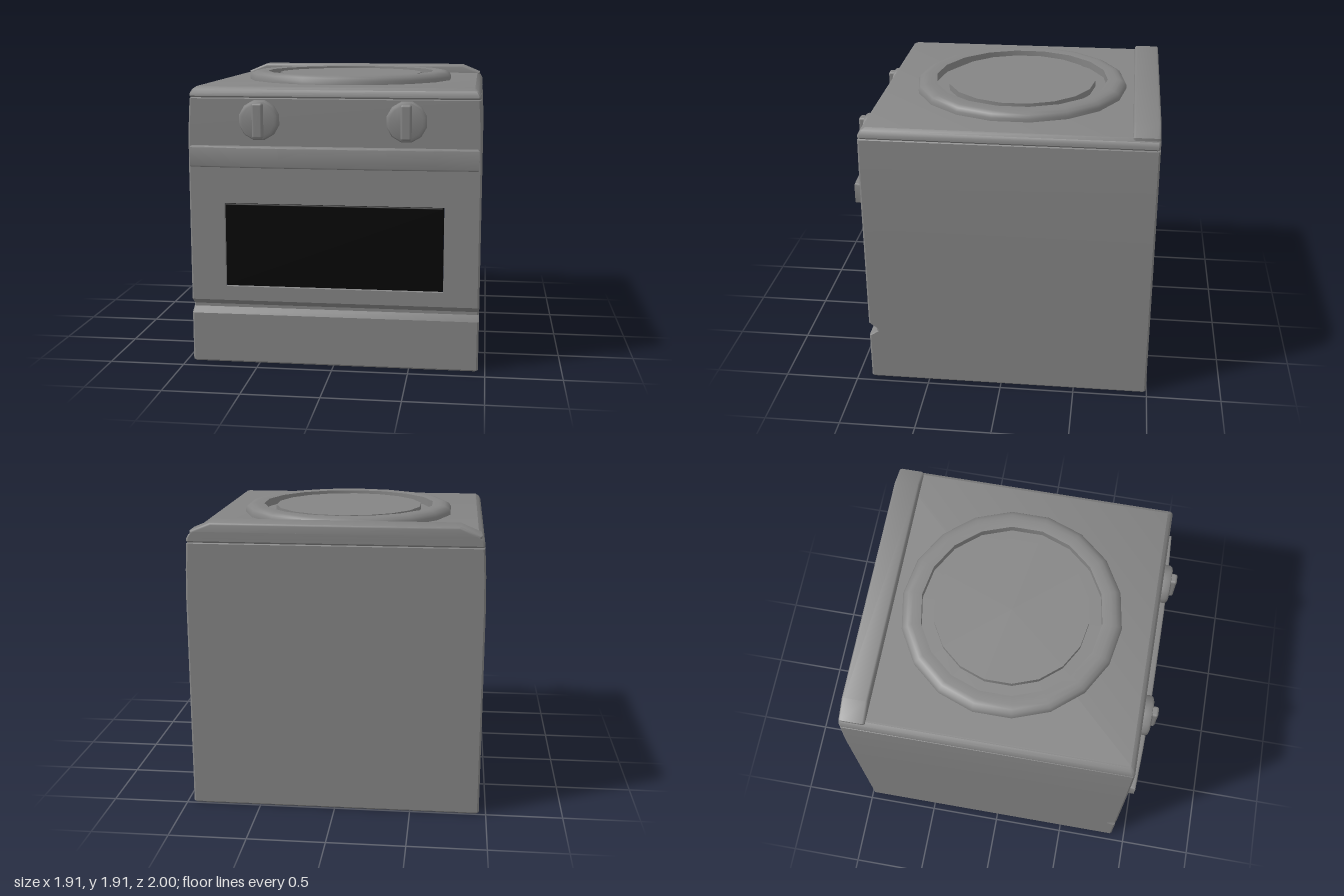
import * as THREE from 'three';
import { toCreasedNormals } from 'three/addons/utils/BufferGeometryUtils.js';
import { RoundedBoxGeometry } from 'three/addons/geometries/RoundedBoxGeometry.js';

const steel = new THREE.MeshStandardMaterial({ color: 0x848484 });
const black = new THREE.MeshStandardMaterial({ color: 0x050505 });

function part(name, geometry, material = steel) {
  const mesh = new THREE.Mesh(geometry, material);
  mesh.name = name;
  return mesh;
}

// Stacks chamfered rectangles [y, halfWidth, zFront, zBack]; openRow leaves a gap in the front wall
function loft(rows, chamfer, openRow = -1) {
  const positions = [], index = [];
  for (const [y, w, f, b] of rows) {
    const c = chamfer;
    const ring = [[c - w, f], [w - c, f], [w, f - c], [w, b + c],
      [w - c, b], [c - w, b], [-w, b + c], [-w, f - c]];
    for (const [x, z] of ring) positions.push(x, y, z);
  }
  const top = (rows.length - 1) * 8;
  for (let r = 0; r < rows.length - 1; r++) {
    for (let j = 0; j < 8; j++) {
      if (r === openRow && j === 0) continue;
      const a = r * 8 + j, b = r * 8 + (j + 1) % 8;
      index.push(a, b, b + 8, a, b + 8, a + 8);
    }
  }
  for (let j = 1; j < 7; j++) index.push(0, j + 1, j, top, top + j, top + j + 1);
  const geometry = new THREE.BufferGeometry();
  geometry.setAttribute('position', new THREE.Float32BufferAttribute(positions, 3));
  geometry.setIndex(index);
  return toCreasedNormals(geometry, 0.6);
}

function lathe(points, sides) {
  const profile = points.map(([r, y]) => new THREE.Vector2(r, y));
  return toCreasedNormals(new THREE.LatheGeometry(profile, sides), 0.7);
}

function polygon(points) {
  return new THREE.Shape(points.map(([x, y]) => new THREE.Vector2(x, y)));
}

function rectangle(w, y0, y1) {
  return [[-w, y0], [w, y0], [w, y1], [-w, y1]];
}

// Knob facing +z with its grip bar
function createKnob(name, x) {
  const knob = new THREE.Group();
  knob.name = name;
  const dialGeometry = lathe([[0.132, 0], [0.132, 0.04], [0.124, 0.055], [0.105, 0.062], [0, 0.062]], 12);
  dialGeometry.rotateY(Math.PI / 12);
  const dial = part('knobDial', dialGeometry);
  dial.rotation.x = Math.PI / 2;
  const grip = part('knobGrip', new RoundedBoxGeometry(0.07, 0.226, 0.06, 2, 0.015));
  grip.position.z = 0.067;
  knob.add(dial, grip);
  knob.position.set(x, 1.638, 0.903);
  return knob;
}

export function createModel() {
  const stove = new THREE.Group();
  stove.name = 'stove';

  // Body with the groove above the drawer and sides that lean in near the top
  stove.add(part('body', loft([
    [0, 0.947, 0.897, -0.987],
    [0.01, 0.955, 0.905, -0.995],
    [0.335, 0.955, 0.905, -0.995],
    [0.37, 0.955, 0.853, -0.995],
    [0.39, 0.955, 0.853, -0.995],
    [0.43, 0.955, 0.905, -0.995],
    [0.5, 0.955, 0.905, -0.995],
    [1.12, 0.955, 0.905, -0.995],
    [1.4, 0.955, 0.905, -0.995],
    [1.6, 0.95, 0.905, -0.995],
    [1.772, 0.94, 0.905, -0.995],
    [1.78, 0.93, 0.895, -0.985],
  ], 0.012, 6)));

  // Door front around the recessed window
  const frame = polygon(rectangle(0.943, 0.5, 1.12));
  frame.holes.push(new THREE.Path(polygon(rectangle(0.72, 0.525, 1.087)).getPoints()));
  const door = part('doorFrame', new THREE.ExtrudeGeometry(frame, { depth: 0.03, bevelEnabled: false }));
  door.position.z = 0.875;
  const glass = part('ovenWindow', new RoundedBoxGeometry(1.435, 0.555, 0.03, 2, 0.01), black);
  glass.position.set(0, 0.806, 0.882);
  stove.add(door, glass);

  // Slightly bowed full-width handle
  const bow = polygon([[-0.925, 0.905], [0.925, 0.905], [0.925, 0.932], [0.65, 0.945], [0.35, 0.954],
    [-0.35, 0.954], [-0.65, 0.945], [-0.925, 0.932]]);
  const handleGeometry = new THREE.ExtrudeGeometry(bow, {
    depth: 0.118, bevelThickness: 0.01, bevelSize: 0.01, bevelSegments: 3,
  });
  handleGeometry.rotateX(Math.PI / 2);
  const handle = part('doorHandle', toCreasedNormals(handleGeometry, 0.6));
  handle.position.y = 1.457;
  stove.add(handle);

  stove.add(createKnob('leftKnob', 0.475), createKnob('rightKnob', -0.475));

  // Cooktop slab above a thin seam
  stove.add(part('cooktop', loft([
    [1.775, 0.93, 0.895, -0.985],
    [1.788, 0.94, 0.905, -0.995],
    [1.805, 0.938, 0.902, -0.995],
    [1.83, 0.925, 0.89, -0.995],
    [1.848, 0.9, 0.868, -0.995],
  ], 0.012)));

  // Low back ledge with sloped ends and a rounded front edge
  const ledge = polygon([[-0.9, 1.815], [0.9, 1.815], [0.9, 1.842], [0.78, 1.892],
    [-0.78, 1.892], [-0.9, 1.842]]);
  const back = part('backLedge', toCreasedNormals(new THREE.ExtrudeGeometry(ledge, {
    depth: 0.137, bevelThickness: 0.018, bevelSize: 0.018, bevelSegments: 3,
  }), 0.6));
  back.position.z = -0.977;
  stove.add(back);

  // Burner: rounded ring, sunken channel and raised plate
  const burner = new THREE.Group();
  burner.name = 'burner';
  burner.add(part('burnerRing', lathe([[0.725, 1.84], [0.725, 1.87], [0.712, 1.892], [0.685, 1.906],
    [0.655, 1.91], [0.595, 1.905], [0.595, 1.852], [0.5, 1.852]], 18)));
  burner.add(part('burnerPlate', lathe([[0.51, 1.84], [0.51, 1.895], [0, 1.895]], 18)));
  burner.position.z = -0.045;
  stove.add(burner);

  return stove;
}
